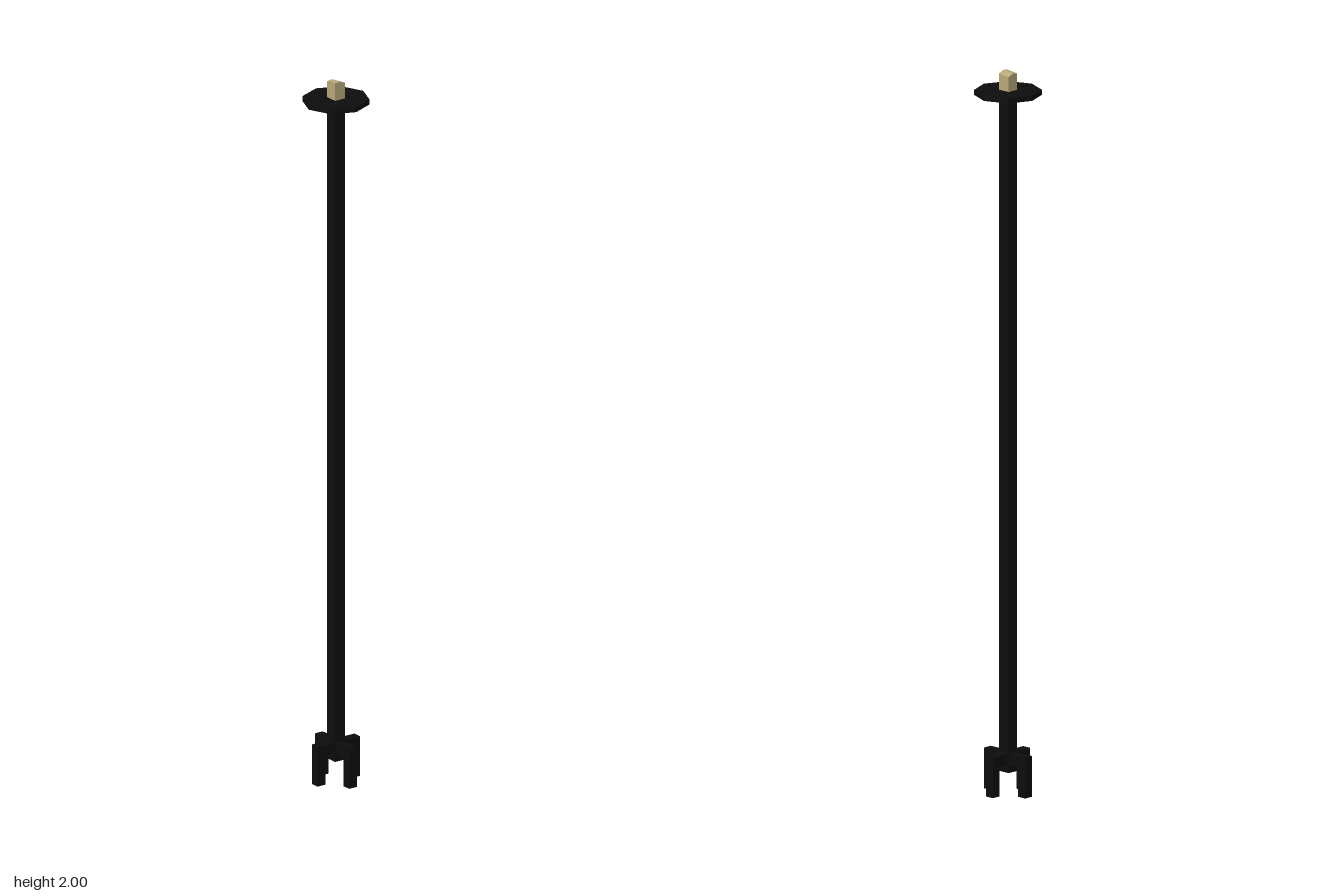
import * as THREE from 'three';

export function createModel() {
  const model = new THREE.Group();
  const iron = new THREE.MeshStandardMaterial({ color: 0x0d0d0d, flatShading: true });
  const wax = new THREE.MeshStandardMaterial({ color: 0xb5a878, flatShading: true });

  const add = (name, geometry, material, x, y, z, parent = model) => {
    const mesh = new THREE.Mesh(geometry, material);
    mesh.name = name;
    mesh.position.set(x, y, z);
    parent.add(mesh);
    return mesh;
  };
  const box = (name, w, bottom, top, d, x = 0, z = 0, parent = model) =>
    add(name, new THREE.BoxGeometry(w, top - bottom, d), iron, x, (bottom + top) / 2, z, parent);

  // Square pole
  box('pole', 0.036, 0.06, 1.935, 0.032);

  // Octagonal drip plate with corners on the axes
  add('dripPlate', new THREE.CylinderGeometry(0.091, 0.091, 0.014, 8), iron, 0, 1.941, 0);

  // Candle stub with an uneven, melted top
  const candle = new THREE.BoxGeometry(0.036, 0.052, 0.032, 2, 1, 2);
  const p = candle.attributes.position;
  for (let i = 0; i < p.count; i++) {
    if (p.getY(i) < 0) continue;
    const drop = 0.004 * (1 - p.getX(i) / 0.018) / 2 + (p.getZ(i) < -0.001 ? 0.007 : p.getZ(i) > 0.001 ? 0.002 : 0);
    p.setY(i, p.getY(i) - drop);
  }
  candle.computeVertexNormals();
  add('candle', candle, wax, 0, 1.974, 0);

  // Four bracket feet: a flat arm with a downturned leg
  const feet = [[1, 0, 0.077], [-1, 0, 0.077], [0, 1, 0.071], [0, -1, 0.071]];
  for (const [dx, dz, reach] of feet) {
    const foot = new THREE.Group();
    foot.name = 'foot';
    const t = 0.026;
    const along = reach - t;
    box('arm', dx ? along : t, 0.082, 0.113, dz ? along : t, dx * along / 2, dz * along / 2, foot);
    const c = reach - t / 2;
    box('leg', t, 0, 0.113, t, dx * c, dz * c, foot);
    model.add(foot);
  }
  return model;
}
